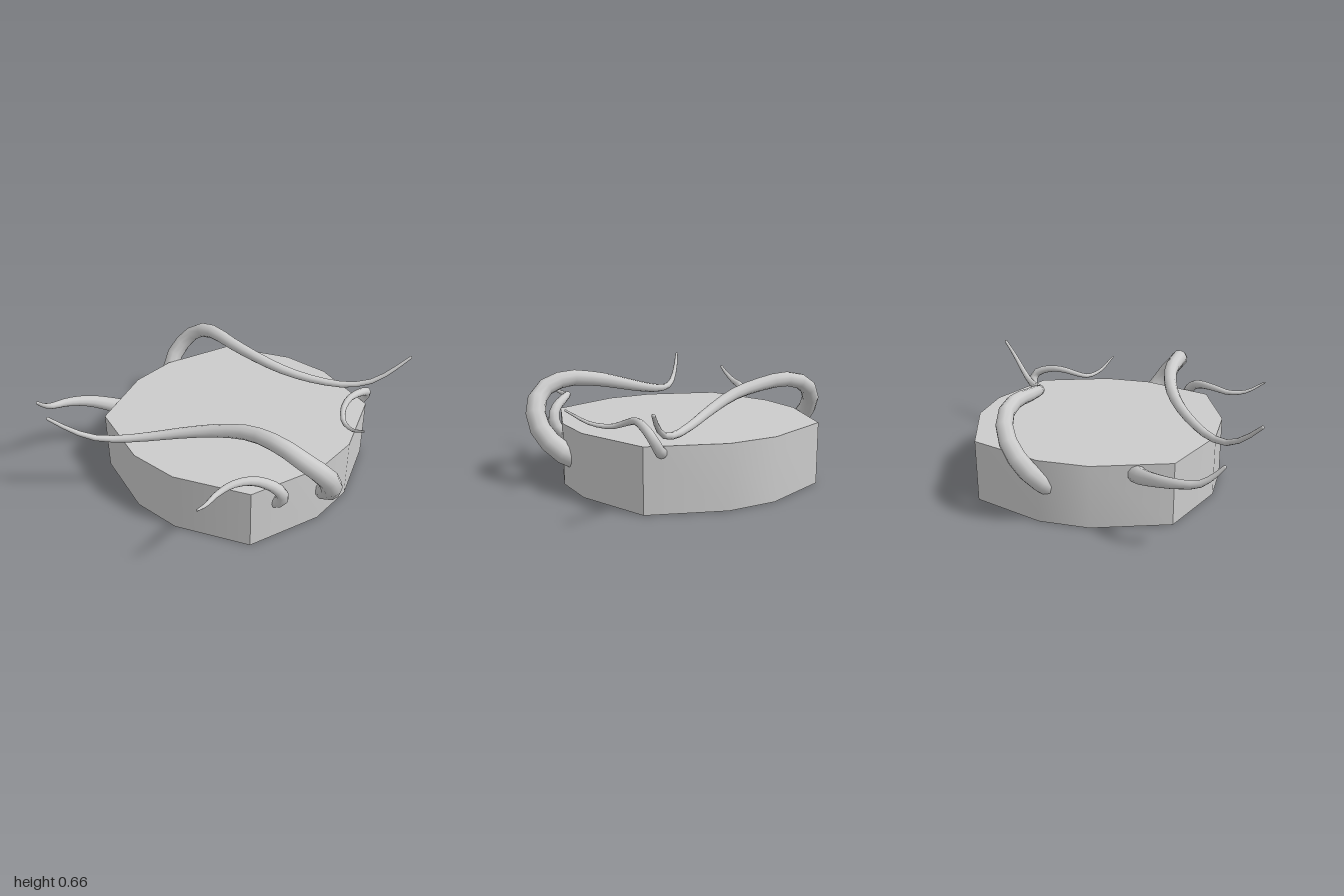
import * as THREE from 'three';
import { toCreasedNormals } from 'three/addons/utils/BufferGeometryUtils.js';

const material = new THREE.MeshStandardMaterial({ color: 0xcccccc });

// Tapered tube along a smooth path, closed by a small rounded tip
function tentacle(name, points, baseRadius, tipRadius, segments) {
  const path = new THREE.CatmullRomCurve3(points.map((p) => new THREE.Vector3(...p)));
  const sides = 10;
  const geometry = new THREE.TubeGeometry(path, segments, 1, sides, false);
  const position = geometry.attributes.position;
  const v = new THREE.Vector3();
  for (let i = 0; i <= segments; i++) {
    const t = i / segments;
    const centre = path.getPointAt(t);
    const radius = THREE.MathUtils.lerp(baseRadius, tipRadius, t);
    for (let j = 0; j <= sides; j++) {
      const k = i * (sides + 1) + j;
      v.fromBufferAttribute(position, k).sub(centre).multiplyScalar(radius).add(centre);
      position.setXYZ(k, v.x, v.y, v.z);
    }
  }
  const group = new THREE.Group();
  group.name = name;
  const tube = new THREE.Mesh(geometry, material);
  tube.name = name + 'Tube';
  const tip = new THREE.Mesh(new THREE.SphereGeometry(tipRadius, 8, 6), material);
  tip.name = name + 'Tip';
  tip.position.copy(path.getPointAt(1));
  group.add(tube, tip);
  return group;
}

// Twelve-sided slab, symmetric about its own centre
function body() {
  const quarter = [[0.755, 0.15], [0.595, 0.595], [0.155, 0.76]];
  const flip = ([x, y]) => [-x, y];
  const half = [...quarter, ...quarter.map(flip).reverse()];
  const outline = [...half, ...half.map(([x, y]) => [-x, -y])];
  const shape = new THREE.Shape(outline.map((p) => new THREE.Vector2(...p)));
  const geometry = new THREE.ExtrudeGeometry(shape, { depth: 0.38, bevelEnabled: false });
  geometry.rotateX(-Math.PI / 2);
  geometry.translate(-0.015, 0, -0.06);
  const mesh = new THREE.Mesh(toCreasedNormals(geometry, 0.6), material);
  mesh.name = 'body';
  return mesh;
}

export function createModel() {
  const model = new THREE.Group();
  model.name = 'tentacledSlab';
  model.add(body());

  // Two long tentacles arching over the top
  model.add(tentacle('leftLongTentacle', [
    [0.67, 0.17, 0.0], [0.77, 0.22, 0.06], [0.855, 0.34, 0.15], [0.86, 0.45, 0.22],
    [0.79, 0.55, 0.3], [0.62, 0.61, 0.325], [0.4, 0.59, 0.315], [0.2, 0.54, 0.355],
    [0, 0.485, 0.45], [-0.2, 0.44, 0.595], [-0.32, 0.43, 0.7], [-0.42, 0.455, 0.805],
    [-0.5, 0.53, 0.9], [-0.56, 0.62, 0.985],
  ], 0.072, 0.01, 22));
  model.add(tentacle('rightLongTentacle', [
    [-0.7, 0.19, -0.14], [-0.77, 0.27, -0.22], [-0.805, 0.38, -0.3], [-0.77, 0.49, -0.38],
    [-0.68, 0.58, -0.425], [-0.54, 0.62, -0.425], [-0.35, 0.6, -0.41], [-0.15, 0.56, -0.425],
    [0.05, 0.5, -0.49], [0.25, 0.45, -0.6], [0.42, 0.435, -0.71], [0.54, 0.47, -0.805],
    [0.62, 0.54, -0.89], [0.69, 0.62, -0.985],
  ], 0.062, 0.01, 22));

  // Short tentacles at three corners
  model.add(tentacle('rightFrontTentacle', [
    [-0.62, 0.31, 0.3], [-0.74, 0.34, 0.38], [-0.835, 0.375, 0.48], [-0.895, 0.4, 0.6],
    [-0.91, 0.42, 0.71], [-0.895, 0.465, 0.78], [-0.88, 0.515, 0.83],
  ], 0.055, 0.01, 14));
  model.add(tentacle('leftFrontTentacle', [
    [0.61, 0.24, 0.36], [0.665, 0.28, 0.37], [0.685, 0.35, 0.39], [0.65, 0.41, 0.43],
    [0.57, 0.45, 0.5], [0.505, 0.455, 0.6], [0.48, 0.44, 0.7], [0.5, 0.45, 0.81],
    [0.54, 0.51, 0.925],
  ], 0.042, 0.006, 18));
  model.add(tentacle('leftBackTentacle', [
    [0.46, 0.33, -0.65], [0.51, 0.36, -0.71], [0.55, 0.43, -0.71], [0.555, 0.475, -0.62],
    [0.545, 0.485, -0.5], [0.56, 0.46, -0.41], [0.61, 0.43, -0.335], [0.71, 0.445, -0.265],
    [0.83, 0.52, -0.2],
  ], 0.034, 0.006, 18));
  return model;
}
